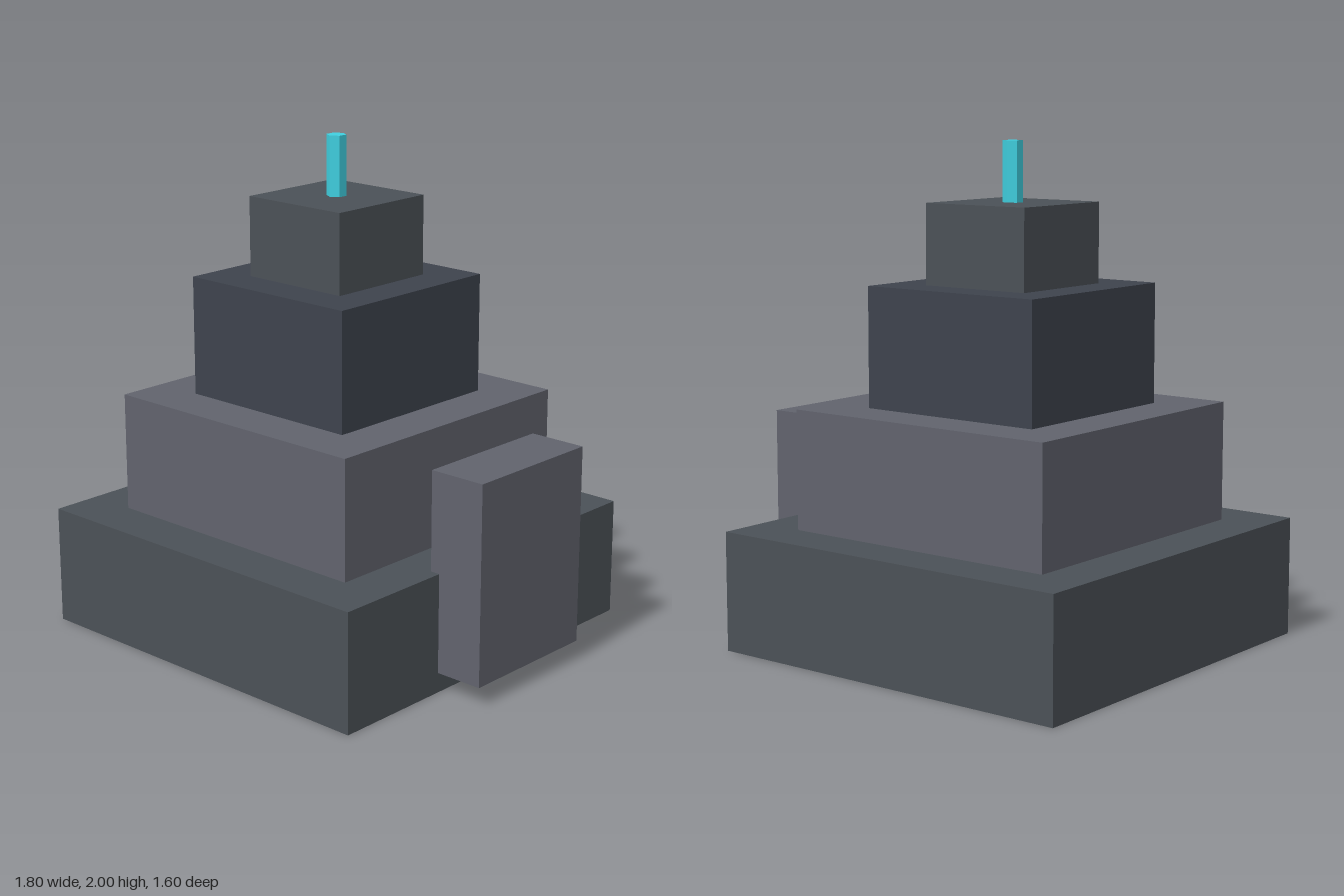
import * as THREE from 'three';

export function createModel() {
  const model = new THREE.Group();
  const slate = new THREE.MeshStandardMaterial({ color: 0x4b5157 });
  const stone = new THREE.MeshStandardMaterial({ color: 0x61636d });
  const dark = new THREE.MeshStandardMaterial({ color: 0x3e434d });
  const cyan = new THREE.MeshStandardMaterial({ color: 0x40d0e0, flatShading: true });

  function add(name, geometry, material, x, y) {
    const mesh = new THREE.Mesh(geometry, material);
    mesh.name = name;
    mesh.position.set(x, y, 0);
    model.add(mesh);
  }

  // Stacked tiers: name, width, height, depth, material
  const axisX = -0.1;
  let y = 0;
  for (const [name, w, h, d, material] of [
    ['baseTier', 1.6, 0.48, 1.6, slate],
    ['lowerTier', 1.2, 0.48, 1.2, stone],
    ['upperTier', 0.8, 0.48, 0.8, dark],
    ['topTier', 0.48, 0.32, 0.48, slate],
  ]) {
    add(name, new THREE.BoxGeometry(w, h, d), material, axisX, y + h / 2);
    y += h;
  }

  // Hexagonal rod on the summit
  add('beaconRod', new THREE.CylinderGeometry(0.04, 0.04, 2 - y, 6), cyan, axisX, (y + 2) / 2);

  // Upright slab set into the side of the base
  add('sideSlab', new THREE.BoxGeometry(0.24, 0.8, 0.6), stone, 0.78, 0.48);

  return model;
}
